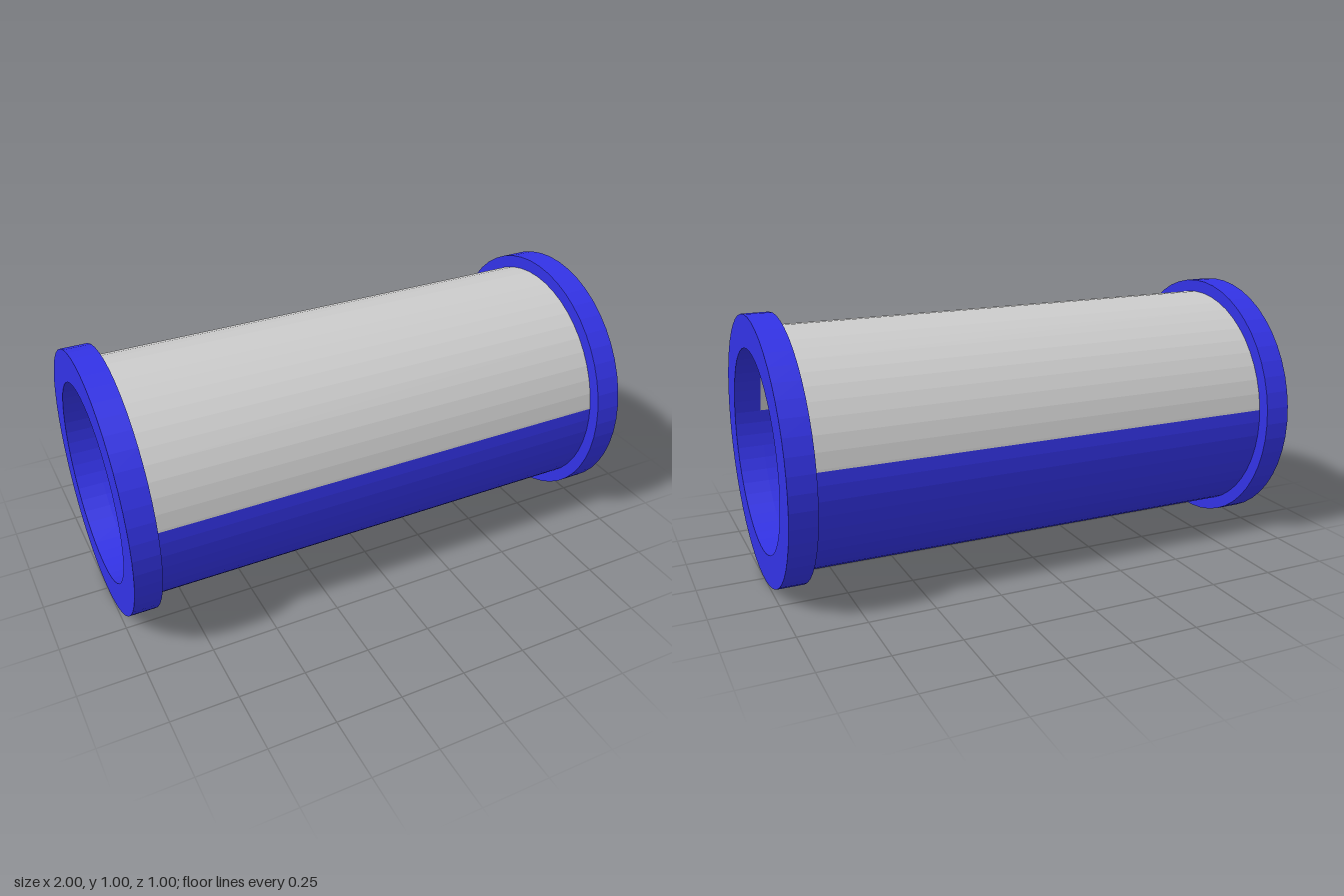
import * as THREE from 'three';

const SIDES = 50;
const STEP = (Math.PI * 2) / SIDES;
const INNER = 0.378, WALL = 0.452, COLLAR = 0.5;
const CUT = 0.048;   // height of the colour split above the axis
const AXIS_Y = 0.499;

const blue = new THREE.MeshStandardMaterial({ color: 0x3333e6, flatShading: true });
const grey = new THREE.MeshStandardMaterial({ color: 0xcccccc, flatShading: true });

// Points along a faceted arc, keeping the facets on the common 50-sided grid
function arc(radius, from, to) {
  const at = (a) => new THREE.Vector2(radius * Math.cos(a), radius * Math.sin(a));
  const points = [at(from)];
  for (let i = Math.ceil(from / STEP + 0.01); i * STEP < to - 0.001; i++) points.push(at(i * STEP));
  points.push(at(to));
  return points;
}

// Extrudes a cross-section along x, centred on the given position
function extrudeAlongX(name, shape, length, x, material) {
  const geometry = new THREE.ExtrudeGeometry(shape, { depth: length, bevelEnabled: false });
  geometry.translate(0, 0, -length / 2);
  geometry.rotateY(Math.PI / 2);
  const mesh = new THREE.Mesh(geometry, material);
  mesh.name = name;
  mesh.position.set(x, AXIS_Y, 0);
  return mesh;
}

// Part of the pipe wall above or below the split
function wallShape(upper) {
  const range = (r) => {
    const a = Math.asin(CUT / r);
    return upper ? [a, Math.PI - a] : [Math.PI - a, Math.PI * 2 + a];
  };
  return new THREE.Shape([
    ...arc(WALL, ...range(WALL)),
    ...arc(INNER, ...range(INNER)).reverse(),
  ]);
}

export function createModel() {
  const model = new THREE.Group();
  model.name = 'flangedPipe';

  // Two-colour pipe wall
  model.add(extrudeAlongX('upperShell', wallShape(true), 1.8, 0, grey));
  model.add(extrudeAlongX('lowerShell', wallShape(false), 1.8, 0, blue));

  // End collars
  const ring = new THREE.Shape(arc(COLLAR, 0, Math.PI * 2).slice(0, -1));
  ring.holes.push(new THREE.Path(arc(INNER, 0, Math.PI * 2).slice(0, -1)));
  for (const side of [1, -1]) {
    const name = side > 0 ? 'leftCollar' : 'rightCollar';
    model.add(extrudeAlongX(name, ring, 0.1, side * 0.95, blue));
  }
  return model;
}
